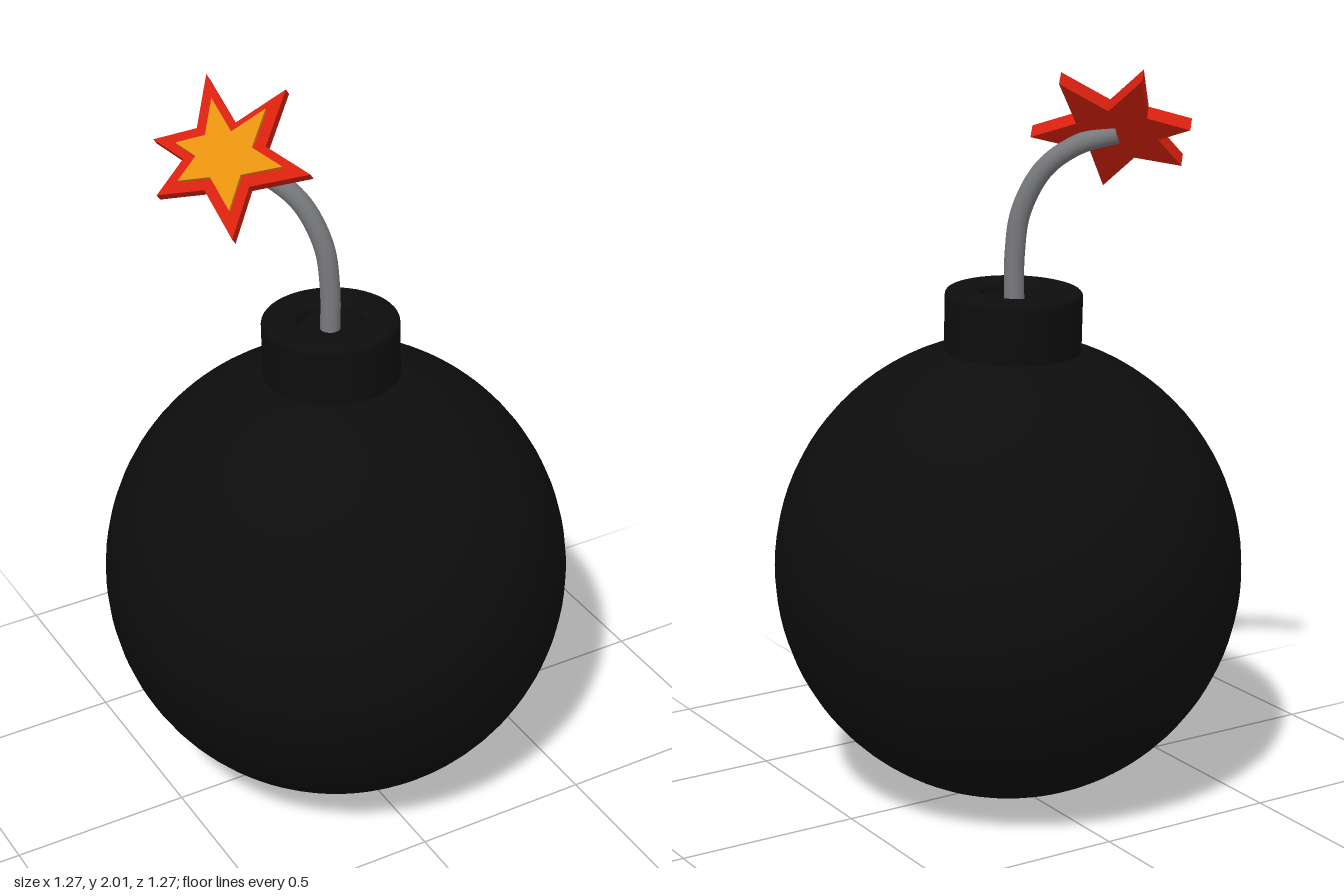
import * as THREE from 'three';

const material = (name, color, side = THREE.FrontSide) => {
  const m = new THREE.MeshStandardMaterial({ color, side });
  m.name = name;
  return m;
};

const add = (parent, name, geometry, mat) => {
  const mesh = new THREE.Mesh(geometry, mat);
  mesh.name = name;
  parent.add(mesh);
  return mesh;
};

export function createModel() {
  const black = material('matteBlack', 0x0d0d0d);
  const grey = material('fuseGrey', 0x78797c);
  const red = material('sparkRed', 0xd8200f);
  const orange = material('sparkOrange', 0xea930f);

  const model = new THREE.Group();
  model.name = 'bomb';

  // Round body with its collar, leaning back slightly
  const shell = new THREE.Group();
  shell.name = 'shell';
  shell.position.y = 0.637;
  shell.rotation.x = -0.038;
  model.add(shell);
  add(shell, 'body', new THREE.SphereGeometry(0.636, 64, 48), black);

  // Collar: straight wall, rounded rim and a dished socket for the fuse
  const rim = new THREE.Path();
  rim.moveTo(0.184, 0.56);
  rim.lineTo(0.184, 0.755);
  rim.quadraticCurveTo(0.184, 0.77, 0.168, 0.77);
  rim.lineTo(0.105, 0.77);
  rim.quadraticCurveTo(0.09, 0.77, 0.086, 0.755);
  rim.lineTo(0.082, 0.738);
  rim.lineTo(0, 0.738);
  add(shell, 'collar', new THREE.LatheGeometry(rim.getPoints(6), 48), black);

  // Bent fuse
  const path = new THREE.CatmullRomCurve3([
    [0, 1.36, -0.03], [0, 1.5, -0.032], [-0.012, 1.62, -0.045],
    [-0.055, 1.735, -0.09], [-0.12, 1.8, -0.15], [-0.2, 1.832, -0.217],
  ].map(p => new THREE.Vector3(...p)));
  add(model, 'fuse', new THREE.TubeGeometry(path, 40, 0.027, 20), grey);

  // Spark: an irregular six-pointed star with a smaller star raised on its face
  const outline = [
    [-0.088, 0.205], [-0.088, 0.06], [-0.197, 0.018], [-0.11, -0.025],
    [-0.162, -0.128], [-0.04, -0.1], [0.055, -0.22], [0.075, -0.078],
    [0.228, -0.028], [0.1, 0.032], [0.127, 0.187], [0.01, 0.085],
  ];
  const star = (scale, depth) => new THREE.ExtrudeGeometry(
    new THREE.Shape(outline.map(([x, y]) => new THREE.Vector2(x * scale, y * scale))),
    { depth, bevelEnabled: false });

  const spark = new THREE.Group();
  spark.name = 'spark';
  spark.position.set(-0.2, 1.848, -0.21);
  spark.lookAt(-0.71, 2.518, 0.33);
  model.add(spark);
  add(spark, 'outerStar', star(1, 0.04), red).position.z = -0.02;
  add(spark, 'innerStar', star(0.68, 0.016), orange).position.z = 0.018;

  return model;
}
